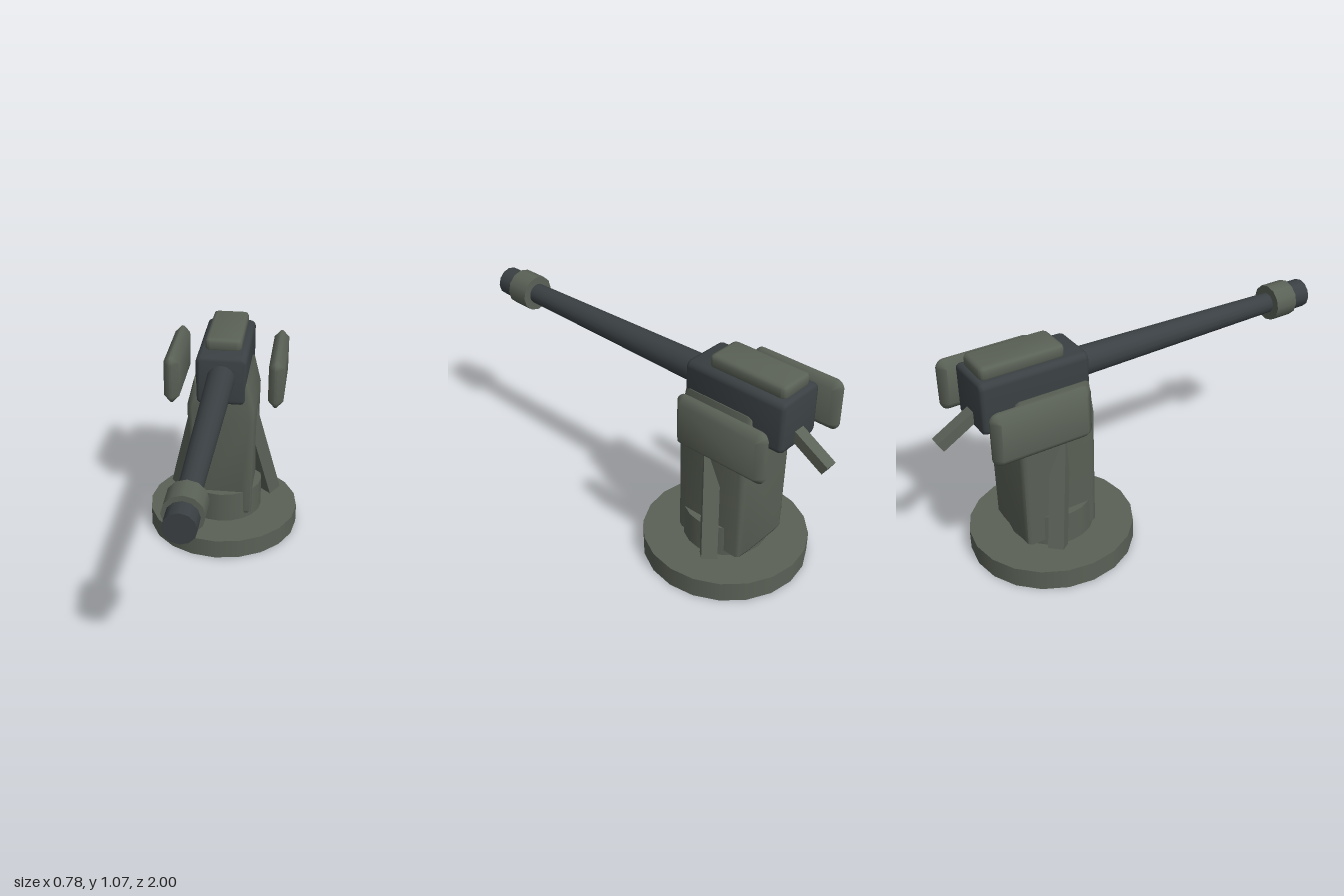
import * as THREE from 'three';
import { toCreasedNormals } from 'three/addons/utils/BufferGeometryUtils.js';

const flatMat = (name, color) => {
  const m = new THREE.MeshStandardMaterial({ color });
  m.name = name;
  return m;
};

// Extrudes a shape along z with bevelled ends, centred on z = 0
function bevelExtrude(shape, depth, bevel, segments) {
  const g = new THREE.ExtrudeGeometry(shape, {
    depth: depth - 2 * bevel, bevelEnabled: true, bevelSize: bevel,
    bevelThickness: bevel, bevelSegments: segments, curveSegments: 3,
  });
  g.translate(0, 0, -depth / 2 + bevel);
  return toCreasedNormals(g, 0.9);
}

// Box with rounded corners; w and h are the outer sizes after bevelling
function bevelBox(w, h, depth, bevel, radius, segments = 1) {
  const x = w / 2 - bevel, y = h / 2 - bevel, r = radius;
  const s = new THREE.Shape();
  s.moveTo(-x + r, -y);
  s.absarc(x - r, -y + r, r, -Math.PI / 2, 0);
  s.absarc(x - r, y - r, r, 0, Math.PI / 2);
  s.absarc(-x + r, y - r, r, Math.PI / 2, Math.PI);
  s.absarc(-x + r, -y + r, r, Math.PI, Math.PI * 1.5);
  return bevelExtrude(s, depth, bevel, segments);
}

export function createModel() {
  const model = new THREE.Group();
  model.name = 'turret';
  const green = flatMat('greyGreen', 0x5a6156);
  const dark = flatMat('gunmetal', 0x3a4043);

  const add = (name, geo, mat, x, y, z) => {
    const m = new THREE.Mesh(geo, mat);
    m.name = name;
    m.position.set(x, y, z);
    model.add(m);
    return m;
  };

  // Round base and collar
  add('base', new THREE.CylinderGeometry(0.392, 0.392, 0.1, 20), green, 0, 0.05, -0.47);
  add('collar', new THREE.CylinderGeometry(0.2, 0.2, 0.17, 20), green, 0, 0.175, -0.47);

  // Column: shouldered profile, bevelled front and back
  const b = 0.025;
  const half = [[0.12, 0.12], [0.16, 0.15], [0.169, 0.66], [0.17, 0.74], [0.146, 0.855], [0.13, 0.87]]
    .map(([x, y]) => [x - b, y < 0.13 ? y + b : y > 0.86 ? y - b : y]);
  const outline = [...half, ...half.map(([x, y]) => [-x, y]).reverse()];
  const columnShape = new THREE.Shape(outline.map(([x, y]) => new THREE.Vector2(x, y)));
  add('column', bevelExtrude(columnShape, 0.37, b, 2), green, 0, 0, -0.495);

  // Receiver and its top cover
  add('receiver', bevelBox(0.25, 0.25, 0.52, 0.018, 0.012, 2), dark, 0, 0.886, -0.565);
  const cover = bevelBox(0.18, 0.4, 0.066, 0.018, 0.008, 2);
  cover.rotateX(-Math.PI / 2);
  add('topCover', cover, green, 0, 1.032, -0.602);

  // Barrel, muzzle ring and muzzle tip
  const tube = (name, rFront, rBack, z0, z1, sides, mat) => {
    const g = new THREE.CylinderGeometry(rFront, rBack, z1 - z0, sides);
    g.rotateX(Math.PI / 2);
    add(name, g, mat, 0, 0.904, (z0 + z1) / 2);
  };
  tube('barrel', 0.047, 0.07, -0.35, 0.95, 16, dark);
  tube('muzzleRing', 0.088, 0.088, 0.788, 0.905, 12, green);
  tube('muzzleTip', 0.07, 0.07, 0.915, 1.0, 12, dark);

  // Rear handle, sloping down and back
  const handle = add('rearHandle', new THREE.BoxGeometry(0.058, 0.05, 0.25), green, 0, 0.779, -0.878);
  handle.rotation.x = -0.535;

  // Mirrored side shields and diagonal struts
  const shieldGeo = bevelBox(0.468, 0.252, 0.077, 0.033, 0.008);
  shieldGeo.rotateY(Math.PI / 2);
  for (const side of [1, -1]) {
    const label = side > 0 ? 'left' : 'right';
    add(label + 'Shield', shieldGeo, green, side * 0.264, 0.831, -0.623);

    const low = new THREE.Vector3(side * 0.245, 0.143, -0.57);
    const high = new THREE.Vector3(side * 0.115, 0.69, -0.46);
    const axis = high.clone().sub(low);
    const geo = new THREE.BoxGeometry(0.073, axis.length(), 0.073);
    geo.rotateY(Math.PI / 4);
    const mid = low.clone().add(high).multiplyScalar(0.5);
    const strut = add(label + 'Strut', geo, green, mid.x, mid.y, mid.z);
    strut.quaternion.setFromUnitVectors(new THREE.Vector3(0, 1, 0), axis.normalize());
  }
  return model;
}
